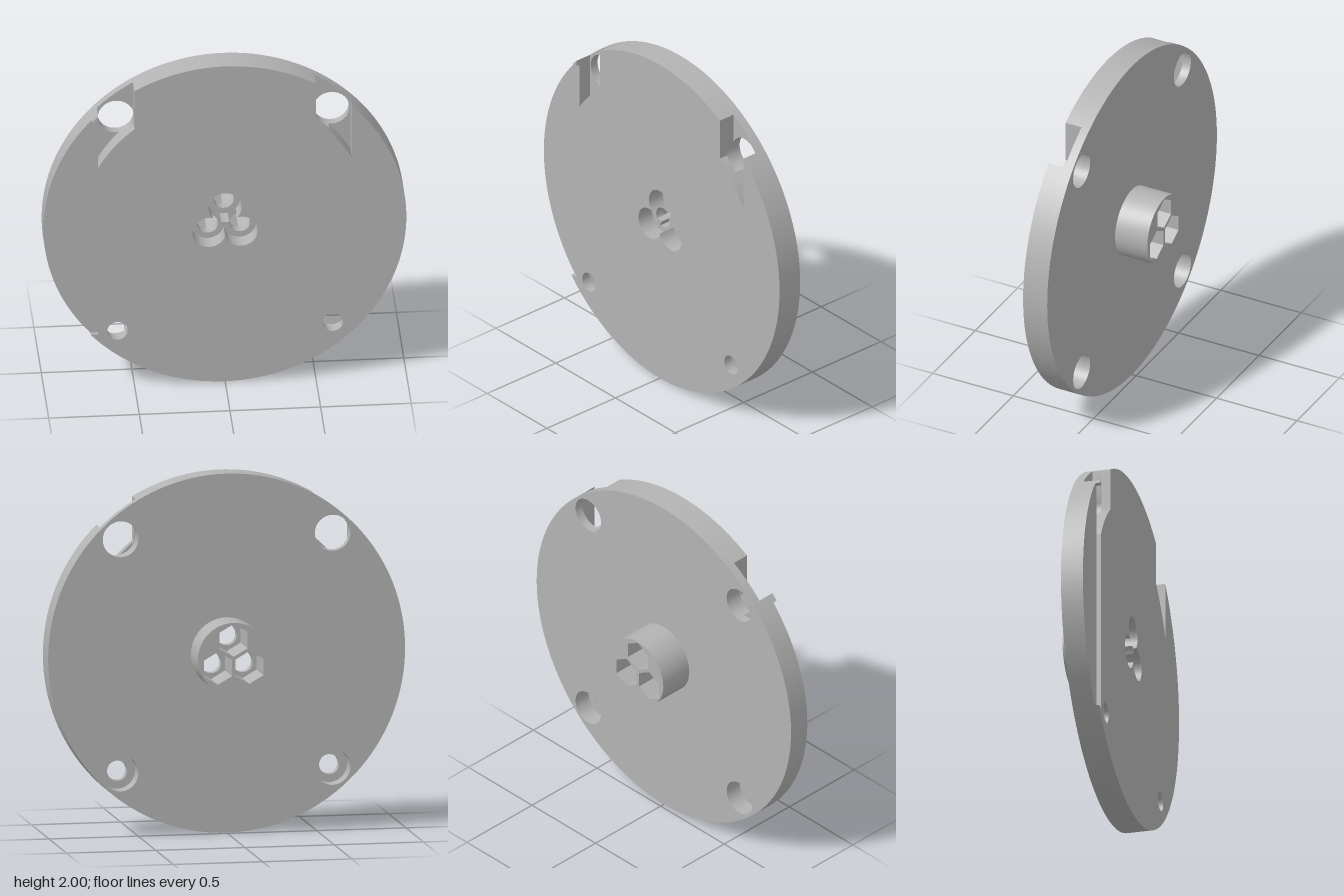
import * as THREE from 'three';
import { toCreasedNormals } from 'three/addons/utils/BufferGeometryUtils.js';

const TAU = Math.PI * 2;
const HX = 0.594, HY = 0.652;          // corner hole offsets from the disc centre
const BORE = 0.1, SCREW = 0.056;       // counterbore and screw hole radii
const POCKET_R = 0.8, PIN = 0.5, POUT = 0.7; // pocket floor radius, inner and outer walls
const HUB_D = 0.102, HUB_SCREW = 0.058, HEAD_R = 0.092;
const hubAngles = [0, 1, 2].map(i => Math.PI / 2 + i * TAU / 3);

// Points along an arc, both ends included
function arc(cx, cy, r, a0, a1) {
  const n = Math.max(2, Math.ceil(Math.abs(a1 - a0) / TAU * (r > 0.5 ? 160 : 48)));
  return Array.from({ length: n + 1 }, (_, i) => {
    const a = a0 + (a1 - a0) * i / n;
    return new THREE.Vector2(cx + r * Math.cos(a), cy + r * Math.sin(a));
  });
}
const circle = (x, y, r) => arc(x, y, r, 0, TAU).slice(0, -1);
const v = (x, y) => new THREE.Vector2(x, y);
const mirror = pts => pts.map(p => v(-p.x, p.y)).reverse();

// Pocket edge on the +x side, from its outer wall round to its inner wall
function pocketEdge(undercut) {
  const aOut = Math.acos(POUT / POCKET_R), aIn = Math.acos(PIN / POCKET_R);
  const outer = v(POUT, Math.sqrt(1 - POUT * POUT));
  const inner = v(PIN, Math.sqrt(1 - PIN * PIN));
  if (!undercut) return [outer, ...arc(0, 0, POCKET_R, aOut, aIn), inner];
  const d = Math.hypot(HX, HY);
  const a = Math.atan2(HY, HX) -
    Math.acos((POCKET_R ** 2 + d * d - BORE ** 2) / (2 * POCKET_R * d));
  const b0 = Math.atan2(POCKET_R * Math.sin(a) - HY, POCKET_R * Math.cos(a) - HX) + TAU;
  const b1 = Math.acos((PIN - HX) / BORE);
  return [outer, ...arc(0, 0, POCKET_R, aOut, a),
    ...arc(HX, HY, BORE, b0, b1).slice(1), inner];
}

// Disc outline with both pockets, optionally with the flat step along -x
function notchedOutline(undercut, step) {
  const edge = pocketEdge(undercut);
  const a0 = Math.acos(POUT), a1 = Math.acos(PIN);
  const pts = [...edge, ...arc(0, 0, 1, a1, Math.PI - a1).slice(1, -1)];
  const left = mirror(edge);
  if (!step) {
    return [...pts, ...left, ...arc(0, 0, 1, Math.PI - a0, TAU + a0).slice(1, -1)];
  }
  const aStep = Math.PI + Math.asin(0.67);
  return [...pts, ...left.slice(0, -1), v(-POUT, -0.67),
    ...arc(0, 0, 1, aStep, TAU + a0).slice(0, -1)];
}

// Three overlapping screw-head recesses, and the small post left between them
const lap = Math.acos(HUB_D * Math.sqrt(3) / 2 / HEAD_R);
const hubArcs = (from, to) => hubAngles.flatMap(f =>
  arc(HUB_D * Math.cos(f), HUB_D * Math.sin(f), HEAD_R, f + from, f + to).slice(0, -1));
const W = Math.PI * 5 / 6;
const trefoil = () => hubArcs(-W + lap, W - lap);
// each concave side is walked backwards so the three join end to end
const post = () => hubAngles.slice().reverse().flatMap(f =>
  arc(HUB_D * Math.cos(f), HUB_D * Math.sin(f), HEAD_R,
    f + W + lap, f + TAU - W - lap).slice(0, -1));

const cornerHoles = (r, signs) => signs.flatMap(s =>
  [-1, 1].map(m => circle(m * HX, s * HY, r)));
const hubHoles = make => hubAngles.map(f => make(HUB_D * Math.cos(f), HUB_D * Math.sin(f)));

// Hexagon with a corner pointing up
const hexagon = (x, y) => Array.from({ length: 6 }, (_, i) =>
  v(x + 0.091 * Math.sin(i * TAU / 6), y + 0.091 * Math.cos(i * TAU / 6)));

export function createModel() {
  const group = new THREE.Group();
  group.name = 'mountingDisc';
  const grey = new THREE.MeshStandardMaterial({ color: 0xb3b3b3 });
  grey.name = 'grey';

  // Flat slab between two z heights
  function slab(name, outline, holes, z0, z1) {
    const shape = new THREE.Shape(outline);
    shape.holes = holes.map(h => new THREE.Path(h));
    const geo = new THREE.ExtrudeGeometry(shape, { depth: z1 - z0, bevelEnabled: false });
    const mesh = new THREE.Mesh(toCreasedNormals(geo, 0.45), grey);
    mesh.name = name;
    mesh.position.set(0, 1, z0);
    group.add(mesh);
  }

  // Disc, from back to front
  slab('discBack', circle(0, 0, 1),
    [...cornerHoles(BORE, [-1, 1]), ...hubHoles((x, y) => circle(x, y, HUB_SCREW))],
    0.025, 0.075);
  slab('discBoreLayer', notchedOutline(true, false),
    [...cornerHoles(BORE, [-1]), trefoil()], 0.075, 0.125);
  slab('discScrewLayer', notchedOutline(false, false),
    [...cornerHoles(SCREW, [-1]), trefoil()], 0.125, 0.15);
  slab('discFront', notchedOutline(false, true),
    [...cornerHoles(SCREW, [-1]), trefoil()], 0.15, 0.175);

  // Sliver left above the step, beside the pocket
  const yTop = Math.sqrt(1 - POUT * POUT);
  slab('stepSliver', [v(-POUT, yTop), v(-Math.sqrt(1 - 0.68 ** 2), 0.68), v(-POUT, 0.68)],
    [], 0.15, 0.175);

  slab('centrePost', post(), [], 0.075, 0.175);

  // Hub with nut sockets on the back
  slab('hub', circle(0, 0, 0.2), hubHoles(hexagon), -0.175, 0.025);
  return group;
}
